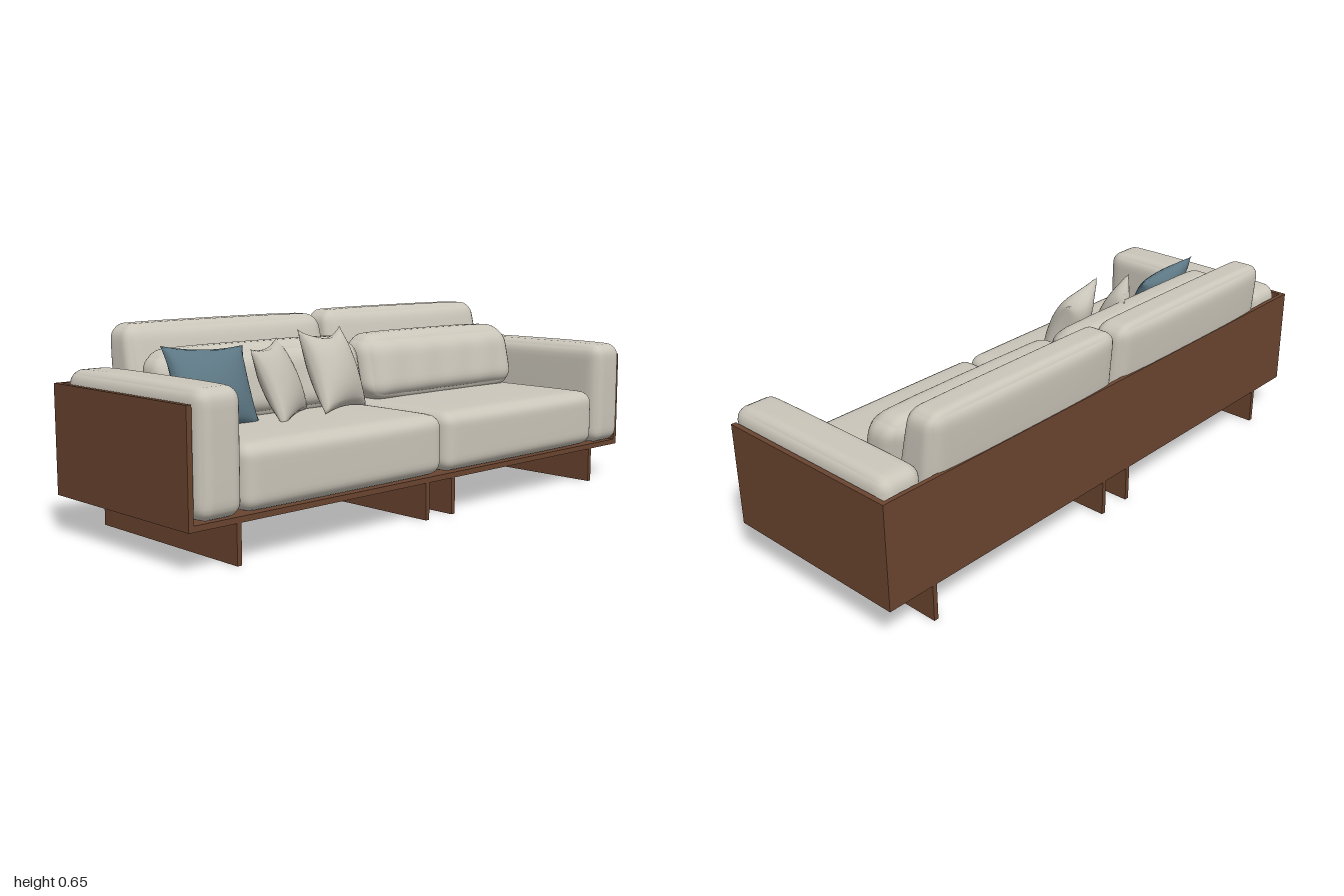
import * as THREE from 'three';
import { mergeGeometries, mergeVertices } from 'three/addons/utils/BufferGeometryUtils.js';

const wood = new THREE.MeshStandardMaterial({ color: 0x6a4530 });
wood.name = 'walnut wood';
const fabric = new THREE.MeshStandardMaterial({ color: 0xcbc6ba });
fabric.name = 'cream fabric';
const blue = new THREE.MeshStandardMaterial({ color: 0x5d7885 });
blue.name = 'blue fabric';

function add(parent, name, geometry, material) {
  const mesh = new THREE.Mesh(geometry, material);
  mesh.name = name;
  parent.add(mesh);
  return mesh;
}

// Box given by its limits on each axis
function board(parent, name, [x0, x1], [y0, y1], [z0, z1]) {
  const mesh = add(parent, name, new THREE.BoxGeometry(x1 - x0, y1 - y0, z1 - z0), wood);
  mesh.position.set((x0 + x1) / 2, (y0 + y1) / 2, (z0 + z1) / 2);
}

// Weld a geometry and give it smooth normals
function smooth(geometry) {
  geometry.deleteAttribute('uv');
  geometry.deleteAttribute('normal');
  const welded = mergeVertices(geometry, 1e-5);
  welded.computeVertexNormals();
  return welded;
}

// Upholstered block: rounded edges of radius r, faces bulging by puff,
// then an optional rule that leans or tapers it
function cushion(parent, name, [x0, x1], [y0, y1], [z0, z1], r, puff, rule) {
  const half = new THREE.Vector3(x1 - x0, y1 - y0, z1 - z0).multiplyScalar(0.5);
  const inner = half.clone().subScalar(r);
  const geometry = new THREE.BoxGeometry(2, 2, 2, 36, 20, 24);
  const pos = geometry.attributes.position;
  const p = new THREE.Vector3(), core = new THREE.Vector3();
  const spread = (t) => Math.sign(t) * (1 - Math.pow(1 - Math.min(1, Math.abs(t)), 1.7));
  for (let i = 0; i < pos.count; i++) {
    p.fromBufferAttribute(pos, i);
    p.set(spread(p.x), spread(p.y), spread(p.z));
    const [a, b, c] = [p.x, p.y, p.z].map((t) => 1 - t ** 4);
    p.multiply(half);
    core.copy(p).clamp(inner.clone().negate(), inner);
    p.sub(core).setLength(r).add(core);
    p.x *= 1 - puff[0] * (1 - b * c);
    p.y *= 1 - puff[1] * (1 - a * c);
    p.z *= 1 - puff[2] * (1 - a * b);
    if (rule) rule(p, half);
    pos.setXYZ(i, p.x, p.y, p.z);
  }
  const mesh = add(parent, name, smooth(geometry), fabric);
  mesh.position.set((x0 + x1) / 2, (y0 + y1) / 2, (z0 + z1) / 2);
}

// Throw pillow: two bulging faces meeting in a thin seam with pointed corners
function pillow(parent, name, material, w, h, t, dent, [x, y, z], lean, yaw, roll) {
  const faces = [1, -1].map((side) => {
    const face = new THREE.PlaneGeometry(2, 2, 24, 24);
    const pos = face.attributes.position;
    for (let i = 0; i < pos.count; i++) {
      const u = pos.getX(i), v = pos.getY(i);
      const full = Math.max(0, (1 - u * u) * (1 - v * v));
      const px = u * (1 - 0.1 * (1 - v * v));
      const sag = (v > 0 ? dent : 0.1) * (1 - u * u);
      const py = v * (1 - sag * Math.abs(v));
      const crease = 1 + 0.06 * Math.sin(7 * u + 4 * v * side) * Math.abs(u * v);
      pos.setXYZ(i, px * w / 2, py * h / 2, side * t / 2 * Math.pow(full, 0.55) * crease);
    }
    if (side < 0) {
      const index = face.index;
      for (let i = 0; i < index.count; i += 3) {
        const k = index.getX(i);
        index.setX(i, index.getX(i + 1));
        index.setX(i + 1, k);
      }
    }
    return face;
  });
  const mesh = add(parent, name, smooth(mergeGeometries(faces)), material);
  mesh.position.set(x, y, z);
  mesh.rotation.set(-lean, yaw, roll, 'YXZ');
}

export function createModel() {
  const sofa = new THREE.Group();
  sofa.name = 'sofa';

  for (const side of [1, -1]) {
    const half = new THREE.Group();
    half.name = side > 0 ? 'leftHalf' : 'rightHalf';
    sofa.add(half);
    const span = (a, b) => (side > 0 ? [a, b] : [-b, -a]);

    // Wooden tray and its plank legs
    board(half, 'sidePanel', span(0.983, 1), [0.122, 0.468], [-0.35, 0.327]);
    board(half, 'basePanel', span(0, 0.983), [0.122, 0.14], [-0.335, 0.327]);
    board(half, 'backPanel', span(0, 0.983), [0.122, 0.468], [-0.35, -0.335]);
    board(half, 'outerLeg', span(0.822, 0.838), [0, 0.122], [-0.35, 0.327]);
    board(half, 'innerLeg', span(0.054, 0.07), [0, 0.122], [-0.35, 0.327]);
    board(half, 'stretcher', span(0.07, 0.822), [0.075, 0.122], [-0.155, -0.139]);

    // Arm and seat
    cushion(half, 'arm', span(0.823, 0.979), [0.14, 0.514], [-0.328, 0.358],
      0.042, [0.03, 0.03, 0.01]);
    cushion(half, 'seatCushion', span(0.002, 0.824), [0.139, 0.348], [-0.325, 0.354],
      0.045, [0.005, 0.06, 0.015]);

    // Back cushion, thinner and further back towards the top
    const top = side > 0 ? 0.652 : 0.643;
    cushion(half, 'backCushion', span(0.004, 0.82), [0.29, top], [-0.336, -0.176],
      0.045, [0.015, 0.025, 0.12], (p, h) => {
        const v = p.y / h.y;
        p.z = p.z * (1.02 - 0.18 * Math.max(0, v)) - 0.028 * v - 0.01;
        p.x *= 1 - 0.012 * Math.max(0, v);
      });

    // Lumbar cushion leaning on the back cushion
    const lumbarX = side > 0 ? [0.028, 0.812] : [-0.82, 0.012];
    cushion(half, 'lumbarCushion', lumbarX, [0.333, 0.574], [-0.185, -0.015],
      0.07, [0.015, 0.07, 0.12], (p, h) => {
        p.z -= 0.026 * p.y / h.y;
        p.z += 0.003 * Math.sin(p.x * 38) * (1 - (p.y / h.y) ** 2);
      });
  }

  // Throw pillows
  pillow(sofa, 'bluePillow', blue, 0.31, 0.265, 0.11, 0.1, [-0.678, 0.459, 0.012], 0.4, 0.04, -0.06);
  pillow(sofa, 'middlePillow', fabric, 0.31, 0.26, 0.1, 0.14, [-0.41, 0.455, 0.01], 0.4, 0.6, 0.04);
  pillow(sofa, 'frontPillow', fabric, 0.285, 0.285, 0.12, 0.28, [-0.22, 0.483, 0.05], 0.38, 0.34, -0.03);

  return sofa;
}
